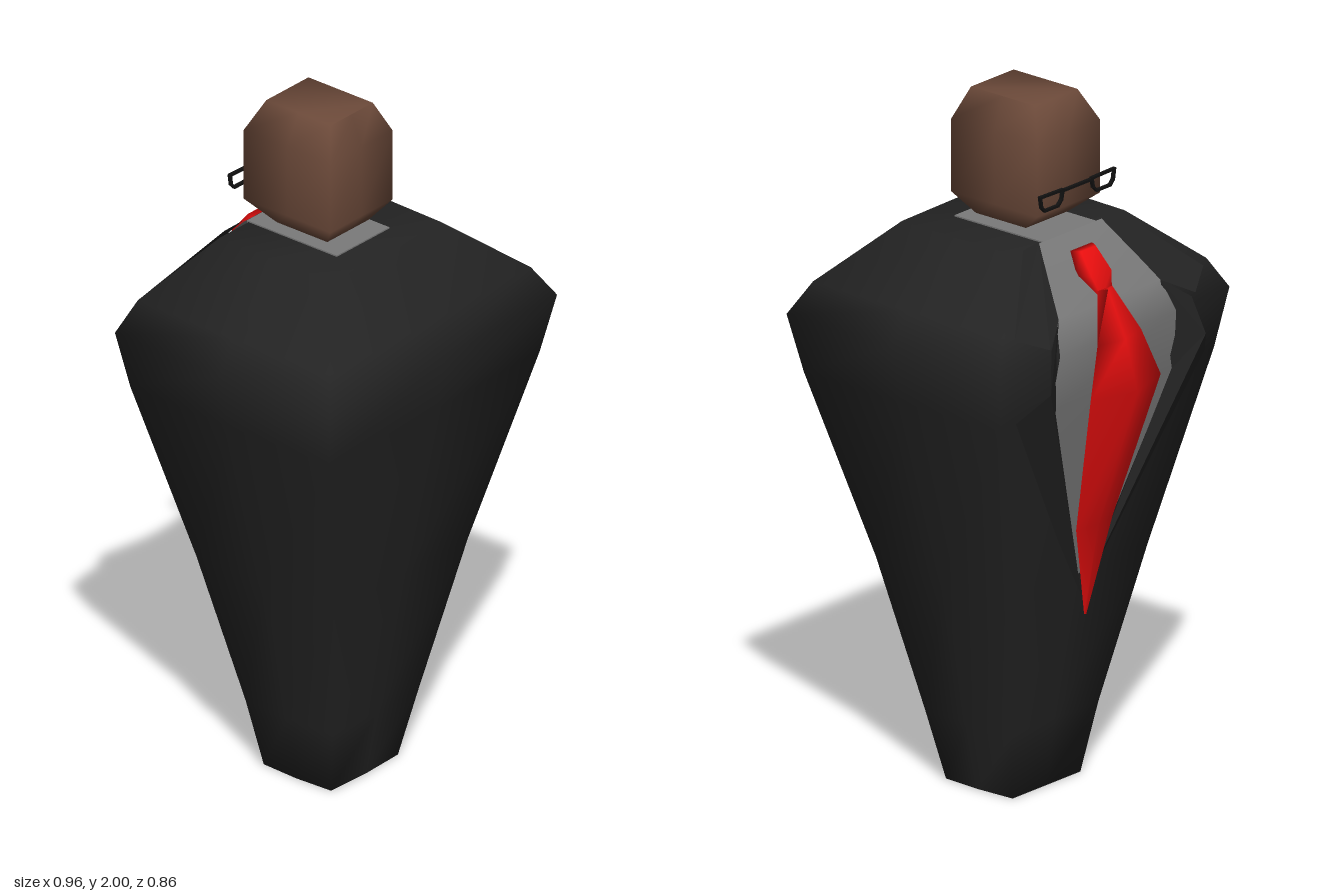
import * as THREE from 'three';

const mat = (name, color, side = THREE.FrontSide) => {
  const m = new THREE.MeshStandardMaterial({ color, side });
  m.name = name;
  return m;
};

// Skin a stack of rings, listed bottom to top, each counterclockwise from above: { y, pts: [[x, z], ...] }
function loft(rings) {
  const n = rings[0].pts.length, pos = [], idx = [];
  rings.forEach(r => r.pts.forEach(([x, z]) => pos.push(x, r.y, z)));
  for (let j = 0; j < rings.length - 1; j++) {
    for (let i = 0; i < n; i++) {
      const a = j * n + i, b = j * n + (i + 1) % n;
      idx.push(a, b, b + n, a, b + n, a + n);
    }
  }
  const top = (rings.length - 1) * n;
  for (let i = 1; i < n - 1; i++) {
    idx.push(0, i + 1, i);
    idx.push(top, top + i, top + i + 1);
  }
  return indexed(pos, idx);
}

function indexed(pos, idx) {
  const g = new THREE.BufferGeometry();
  g.setAttribute('position', new THREE.Float32BufferAttribute(pos, 3));
  g.setIndex(idx);
  g.computeVertexNormals();
  return g;
}

// Rectangular ring with slightly bowed sides
const boxRing = ([y, w, zf, zb], bow = 0) => {
  const m = (zf + zb) / 2;
  return { y, pts: [[w, zb], [w + bow, m], [w, zf], [0, zf], [-w, zf], [-w - bow, m], [-w, zb], [0, zb + bow]] };
};

// Flat-shaded fan of triangles around the first point
function fan(points, side) {
  const pos = points.flatMap(([x, y, z]) => [x * side, y, z]);
  const idx = [];
  for (let i = 1; i < points.length - 1; i++) idx.push(0, i, i + 1);
  const g = indexed(pos, idx).toNonIndexed();
  g.computeVertexNormals();
  return g;
}

export function createModel() {
  const group = new THREE.Group();
  const suit = mat('suit black', 0x232323, THREE.DoubleSide);
  const shirt = mat('shirt grey', 0x7a7a7a, THREE.DoubleSide);
  const red = mat('tie red', 0xe60e0e);
  const skin = mat('skin brown', 0x6b4939);
  const wire = mat('glasses black', 0x111111);
  const add = (name, geo, material) => {
    const m = new THREE.Mesh(geo, material);
    m.name = name;
    group.add(m);
    return m;
  };

  // Tapered suit body: y, half width, front z, back z
  add('suitBody', loft([
    [0, 0.14, -0.10, 0.14], [0.2, 0.18, -0.13, 0.18], [0.65, 0.28, -0.22, 0.27],
    [1.2, 0.44, -0.32, 0.39], [1.37, 0.475, -0.345, 0.422], [1.46, 0.42, -0.31, 0.375],
    [1.62, 0.23, -0.18, 0.22],
  ].map(s => boxRing(s, 0.006))), suit);

  // Grey underside and neck opening
  const base = add('underside', new THREE.BoxGeometry(0.24, 0.004, 0.2), shirt);
  base.position.set(0, 0.0, 0.02);
  const neck = add('neckOpening', new THREE.BoxGeometry(0.22, 0.006, 0.32), shirt);
  neck.position.set(0, 1.621, -0.025);

  // Shirt front: y, half width, z
  const rows = [[1.625, 0.13, -0.185], [1.46, 0.215, -0.322], [1.37, 0.24, -0.358],
    [1.2, 0.255, -0.335], [0.65, 0.03, -0.23]];
  const sPos = rows.flatMap(([y, w, z]) => [w, y, z, -w, y, z]);
  const sIdx = [];
  for (let i = 0; i < rows.length - 1; i++) {
    const a = i * 2;
    sIdx.push(a, a + 2, a + 1, a + 1, a + 2, a + 3);
  }
  add('shirtFront', indexed(sPos, sIdx), shirt);

  // Folded collar and lapel on each side
  for (const side of [1, -1]) {
    const label = side > 0 ? 'left' : 'right';
    add(label + 'Collar', fan([[0.13, 1.63, -0.185], [0.21, 1.46, -0.327], [0.30, 1.41, -0.375],
      [0.39, 1.45, -0.325], [0.2, 1.625, -0.19]], side), suit);
    add(label + 'Lapel', fan([[0.32, 1.29, -0.395], [0.39, 1.21, -0.33], [0.13, 0.78, -0.255],
      [0, 0.58, -0.225], [0.24, 1.2, -0.342], [0.21, 1.46, -0.327], [0.29, 1.4, -0.37]], side), suit);
  }

  // Tie blade and knot: y, half width, edge z, ridge z, back z
  const tieRing = ([y, w, ze, zr, zb]) => ({ y, pts: [[w, ze], [0, zr], [-w, ze], [0, zb]] });
  add('tieBlade', loft([
    [0.53, 0.003, -0.238, -0.243, -0.235], [0.8, 0.075, -0.272, -0.287, -0.265],
    [1.22, 0.145, -0.385, -0.428, -0.365], [1.36, 0.09, -0.362, -0.385, -0.35],
    [1.49, 0.03, -0.31, -0.322, -0.3],
  ].map(tieRing)), red);
  const knotRing = ([y, w, zf, zb]) => ({ y, pts: [[w, zb], [w * 0.7, zf], [-w * 0.7, zf], [-w, zb]] });
  add('tieKnot', loft([
    [1.47, 0.03, -0.318, -0.295], [1.53, 0.058, -0.298, -0.26], [1.59, 0.045, -0.25, -0.225],
  ].map(knotRing)), red);

  // Head with chamfered crown and chin
  add('head', loft([
    [1.637, 0.085, -0.10, 0.08], [1.70, 0.13, -0.18, 0.13], [1.91, 0.13, -0.18, 0.13],
    [2.0, 0.088, -0.135, 0.095],
  ].map(s => boxRing(s))), skin);

  // Wire spectacles: two small lens outlines and a bridge
  const rod = (name, a, b) => {
    const p = new THREE.Vector3(a[0], a[1], -0.21), q = new THREE.Vector3(b[0], b[1], -0.21);
    const m = add(name, new THREE.BoxGeometry(0.007, p.distanceTo(q) + 0.005, 0.01), wire);
    m.position.copy(p).add(q).multiplyScalar(0.5);
    m.quaternion.setFromUnitVectors(new THREE.Vector3(0, 1, 0), q.sub(p).normalize());
  };
  const lens = [[0.153, 1.77], [0.148, 1.74], [0.135, 1.727], [0.08, 1.727], [0.065, 1.742], [0.06, 1.768]];
  for (const s of [1, -1]) {
    lens.forEach(([x, y], i) => {
      const [x2, y2] = lens[(i + 1) % lens.length];
      rod(s > 0 ? 'leftLensFrame' : 'rightLensFrame', [x * s, y], [x2 * s, y2]);
    });
  }
  rod('glassesBridge', [-0.06, 1.765], [0.06, 1.765]);

  return group;
}
